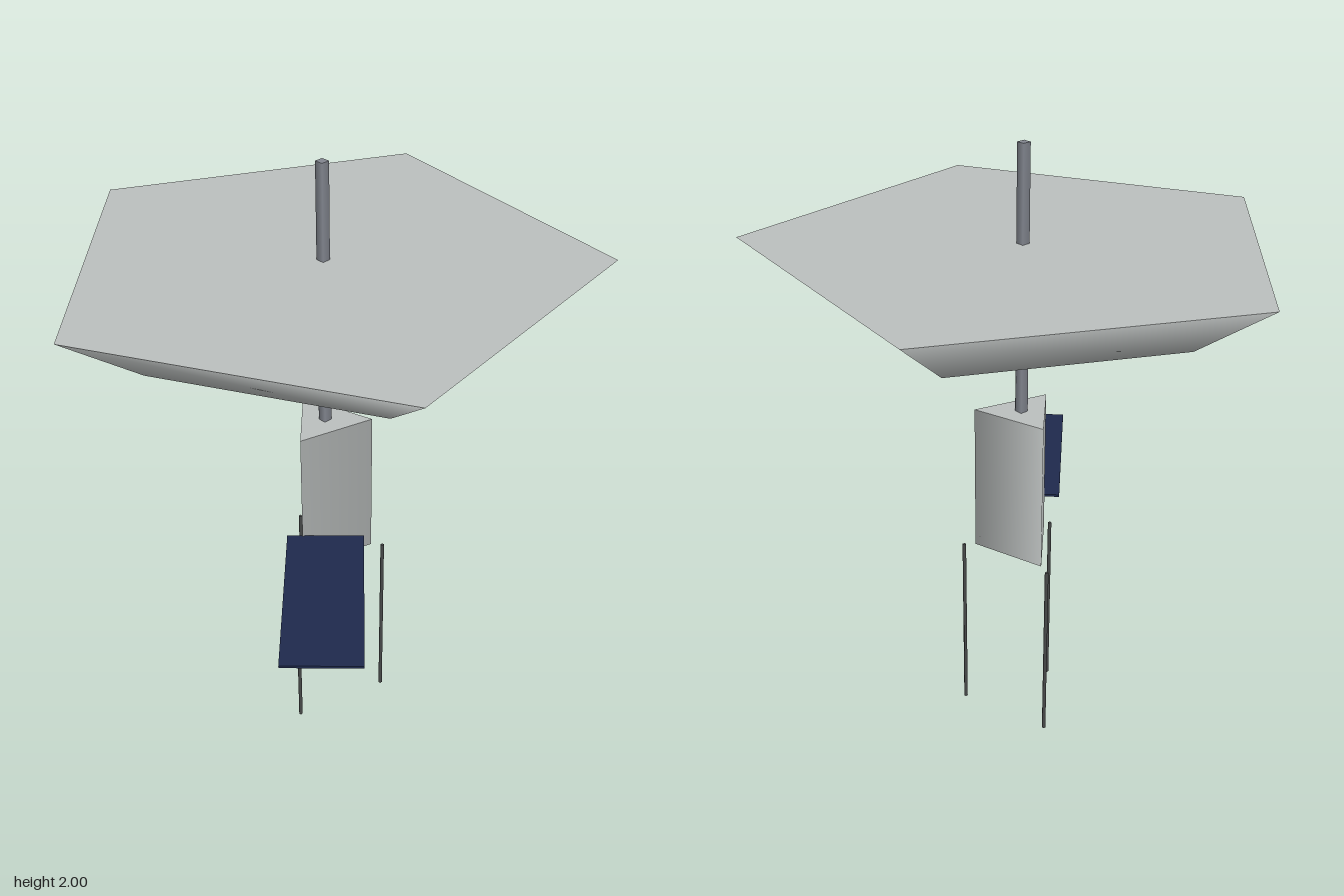
import * as THREE from 'three';

const AXIS_X = -0.085; // the mast line, off centre because the dish is a pentagon

function paint(name, color) {
  const m = new THREE.MeshStandardMaterial({ color });
  m.name = name;
  return m;
}

export function createModel() {
  const model = new THREE.Group();
  model.name = 'satellite';
  const silver = paint('silver', 0xbbbfbe);
  const steel = paint('steel grey', 0x82868f);
  const navy = paint('navy', 0x1f2a4d);
  const charcoal = paint('charcoal', 0x4a4c4c);

  const add = (name, geometry, material, x, y, z, parent = model) => {
    const mesh = new THREE.Mesh(geometry, material);
    mesh.name = name;
    mesh.position.set(x, y, z);
    parent.add(mesh);
    return mesh;
  };
  // Upright prism with its first corner pointing to +x
  const prism = (radius, height, sides) =>
    new THREE.CylinderGeometry(radius, radius, height, sides, 1, false, Math.PI / 2);

  // Three-sided body
  add('body', prism(0.15, 0.5, 3), silver, AXIS_X, 0.88, 0);

  // Four-sided mast through the dish
  add('mast', prism(0.02, 0.87, 4), steel, AXIS_X, 1.565, 0);

  // Five-sided dish: squashed lower half of a sphere with a flat lid
  const dish = new THREE.Group();
  dish.name = 'dish';
  dish.position.set(AXIS_X, 1.69, 0);
  model.add(dish);
  const bowl = new THREE.SphereGeometry(0.875, 5, 2, 0, Math.PI * 2, Math.PI / 2, Math.PI / 2);
  bowl.rotateY(Math.PI).scale(1, 0.3, 1);
  add('dishBowl', bowl, silver, 0, 0, 0, dish);
  add('dishLid', new THREE.CircleGeometry(0.875, 5).rotateX(-Math.PI / 2), silver, 0, 0, 0, dish);

  // Single solar panel reaching forward
  add('solarPanel', new THREE.BoxGeometry(0.25, 0.008, 0.626), navy, AXIS_X, 0.755, 0.437);

  // Three thin antenna rods, one outside each corner of the body
  for (let i = 0; i < 3; i++) {
    const a = (i * Math.PI * 2) / 3;
    add('antennaRod' + (i + 1), prism(0.006, 0.628, 4), charcoal,
      AXIS_X + Math.cos(a) * 0.188, 0.314, Math.sin(a) * 0.188);
  }

  return model;
}
